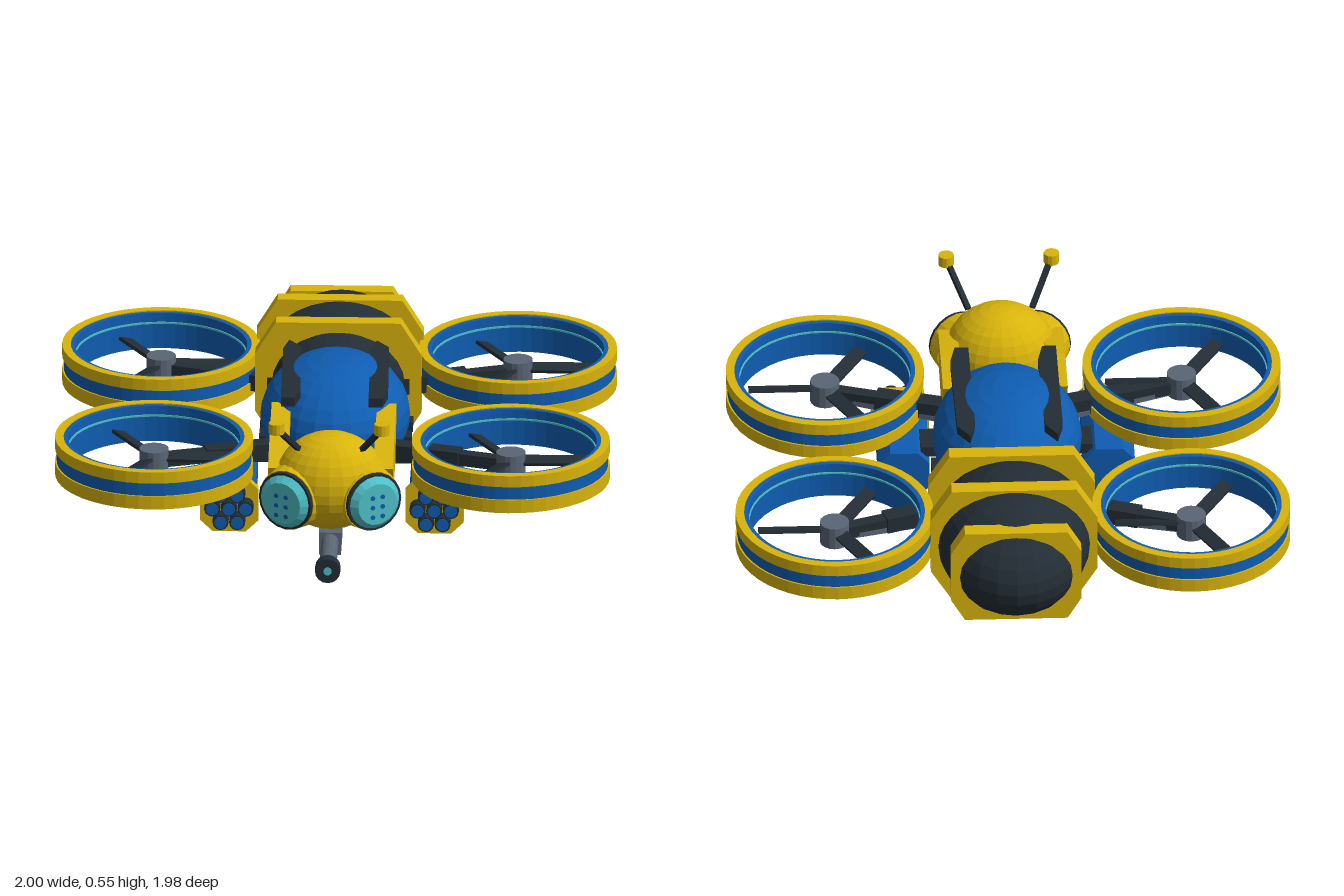
import * as THREE from 'three';

const paint = (name, color) => new THREE.MeshStandardMaterial({ name, color, flatShading: true });

export function createModel() {
  const yellow = paint('yellow', 0xd9b40c);
  const blue = paint('blue', 0x0f5db2);
  const dark = paint('dark slate', 0x232d35);
  const grey = paint('steel grey', 0x596575);
  const teal = paint('teal', 0x4fc0c8);
  const model = new THREE.Group();
  model.name = 'beeDrone';

  const add = (parent, name, geo, mat, x = 0, y = 0, z = 0) => {
    const m = new THREE.Mesh(geo, mat);
    m.name = name;
    m.position.set(x, y, z);
    parent.add(m);
    return m;
  };
  const group = (name, x = 0, y = 0, z = 0) => {
    const g = new THREE.Group();
    g.name = name;
    g.position.set(x, y, z);
    model.add(g);
    return g;
  };
  const box = (w, h, d) => new THREE.BoxGeometry(w, h, d);
  const ball = (rx, ry, rz) => new THREE.SphereGeometry(1, 24, 16).scale(rx, ry, rz);
  // cylinder along z, first radius at the front
  const rodZ = (rFront, rBack, len, n = 16) => new THREE.CylinderGeometry(rFront, rBack, len, n).rotateX(Math.PI / 2);
  const prism = (pts, depth) => new THREE.ExtrudeGeometry(
    new THREE.Shape(pts.map(p => new THREE.Vector2(...p))), { depth, bevelEnabled: false }
  ).translate(0, 0, -depth / 2);
  // eight-sided block: half sizes w, h; flat half sizes fw (top), fh (side)
  const octagon = (w, h, fw, fh, depth) => prism(
    [[fw, -h], [w, -fh], [w, fh], [fw, h], [-fw, h], [-w, fh], [-w, -fh], [-fw, -h]], depth);
  const beam = (name, a, b, w, h, mat) => {
    const A = new THREE.Vector3(...a), B = new THREE.Vector3(...b);
    const m = add(model, name, box(w, h, A.distanceTo(B)), mat);
    m.position.copy(A).add(B).multiplyScalar(0.5);
    m.lookAt(B);
    return m;
  };

  // Body
  add(model, 'abdomen', ball(0.28, 0.23, 0.41), dark, 0, 0.26, -0.58);
  add(model, 'thorax', ball(0.27, 0.22, 0.35), blue, 0, 0.29, 0);
  add(model, 'head', ball(0.2, 0.18, 0.17), yellow, 0, 0.27, 0.595);

  // Abdomen bands
  for (const [z, w, h, fw, fh] of [
    [-0.4, 0.3, 0.232, 0.225, 0.11],
    [-0.625, 0.3, 0.232, 0.225, 0.11],
    [-0.83, 0.235, 0.185, 0.185, 0.1],
  ]) add(model, 'abdomenBand', octagon(w, h, fw, fh, 0.06), yellow, 0, 0.262, z);

  // Chin cannon
  add(model, 'cannonMount', box(0.08, 0.085, 0.17), grey, 0, 0.062, 0.615);
  add(model, 'cannonBarrel', rodZ(0.031, 0.031, 0.28), grey, 0, 0.07, 0.82);
  add(model, 'cannonMuzzle', rodZ(0.046, 0.046, 0.045), dark, 0, 0.07, 0.968);
  add(model, 'cannonGlow', rodZ(0.015, 0.015, 0.006), teal, 0, 0.07, 0.991);

  for (const s of [1, -1]) {
    // Eye
    const eye = group('eye', s * 0.15, 0.235, 0.705);
    eye.rotation.y = s * 0.5;
    add(eye, 'eyeSocket', rodZ(0.112, 0.122, 0.07, 20), yellow, 0, 0, -0.025);
    add(eye, 'eyeRim', rodZ(0.108, 0.11, 0.03, 20), dark, 0, 0, 0.01);
    add(eye, 'eyeLens', rodZ(0.078, 0.1, 0.025, 20), teal, 0, 0, 0.037);
    for (const x of [-0.02, 0.02]) for (const y of [-0.037, 0, 0.037])
      add(eye, 'eyeDot', rodZ(0.009, 0.009, 0.006, 8), blue, x, y - 0.01, 0.05);

    // Antenna
    beam('antennaRod', [s * 0.115, 0.41, 0.65], [s * 0.185, 0.53, 0.775], 0.018, 0.018, dark);
    add(model, 'antennaTip', new THREE.CylinderGeometry(0.028, 0.028, 0.04, 12), yellow, s * 0.19, 0.54, 0.78);

    // Neck beam from thorax to head, drawn in side profile
    const neck = prism([[0.16, 0.395], [0.24, 0.25], [0.36, 0.22], [0.6, 0.23], [0.64, 0.33], [0.4, 0.375]].map(p => [-p[0], p[1]]).reverse(), 0.07);
    add(model, 'neckBeam', neck.rotateY(Math.PI / 2), yellow, s * 0.19, 0, 0);

    // Folded wing strip on the back, tapered at both ends
    const wing = prism([[-0.015, -0.285], [0.03, -0.22], [0.038, 0.2], [0.02, 0.285], [-0.03, 0.285], [-0.035, -0.2]], 0.034);
    add(model, 'wingStrip', wing.rotateX(Math.PI / 2), dark, s * 0.158, 0.455, 0.025);

    // Side fittings
    for (const z of [-0.03, -0.17]) add(model, 'sideFitting', box(0.07, 0.035, 0.07), dark, s * 0.24, 0.185, z);

    // Missile pod
    const pod = group('missilePod', s * 0.37, 0.11, 0);
    add(pod, 'podBody', octagon(0.092, 0.094, 0.05, 0.05, 0.39), blue, 0, 0, 0.225);
    add(pod, 'podRim', octagon(0.105, 0.103, 0.06, 0.06, 0.035), yellow, 0, 0, 0.43);
    for (let i = 0; i < 7; i++) {
      const a = i * Math.PI / 3, r = i < 6 ? 0.06 : 0;
      const x = r * Math.cos(a), y = r * Math.sin(a);
      add(pod, 'podTube', rodZ(0.029, 0.029, 0.06, 12), dark, x, y, 0.464);
      add(pod, 'podMissile', rodZ(0.023, 0.023, 0.006, 12), blue, x, y, 0.495);
    }
    add(model, 'podBracket', box(0.14, 0.04, 0.12), dark, s * 0.24, 0.19, 0.12);

    // Rotors and their arms
    for (const [z, root] of [[0.375, [0.17, 0.25, 0.235]], [-0.535, [0.2, 0.25, -0.385]]]) {
      const hubX = s * 0.643;
      beam('rotorArm', [s * root[0], root[1], root[2]], [s * 0.46, 0.25, z + (root[2] - z) * 0.4], 0.065, 0.06, dark);
      beam('rotorArmTip', [s * 0.42, 0.25, z + (root[2] - z) * 0.49], [hubX, 0.25, z], 0.045, 0.045, dark);
      beam('rotorStrut', [s * root[0], 0.22, root[2] - 0.03], [hubX, 0.235, z - 0.01], 0.02, 0.02, grey);
      buildRotor(hubX, z);
    }
  }

  function buildRotor(x, z) {
    const rotor = group('rotor', x, 0, z);
    const ring = (name, ri, ro, y0, y1, mat) => add(rotor, name, new THREE.LatheGeometry(
      [[ri, y0], [ro, y0], [ro, y1], [ri, y1], [ri, y0]].map(p => new THREE.Vector2(...p)), 48), mat);
    ring('ductTopBand', 0.326, 0.357, 0.3, 0.343, yellow);
    ring('ductMiddleBand', 0.326, 0.351, 0.25, 0.3, blue);
    ring('ductBottomBand', 0.326, 0.357, 0.2, 0.25, yellow);
    ring('ductLiner', 0.31, 0.327, 0.203, 0.339, blue);
    ring('ductLight', 0.306, 0.312, 0.298, 0.305, teal);
    add(rotor, 'hub', new THREE.CylinderGeometry(0.053, 0.053, 0.085, 16), grey, 0, 0.255, 0);
    for (let i = 0; i < 3; i++) {
      const blade = add(rotor, 'blade', box(0.25, 0.012, 0.05).rotateX(0.3).translate(0.15, 0, 0), dark, 0, 0.265, 0);
      blade.rotation.y = -i * Math.PI * 2 / 3;
    }
  }

  return model;
}
